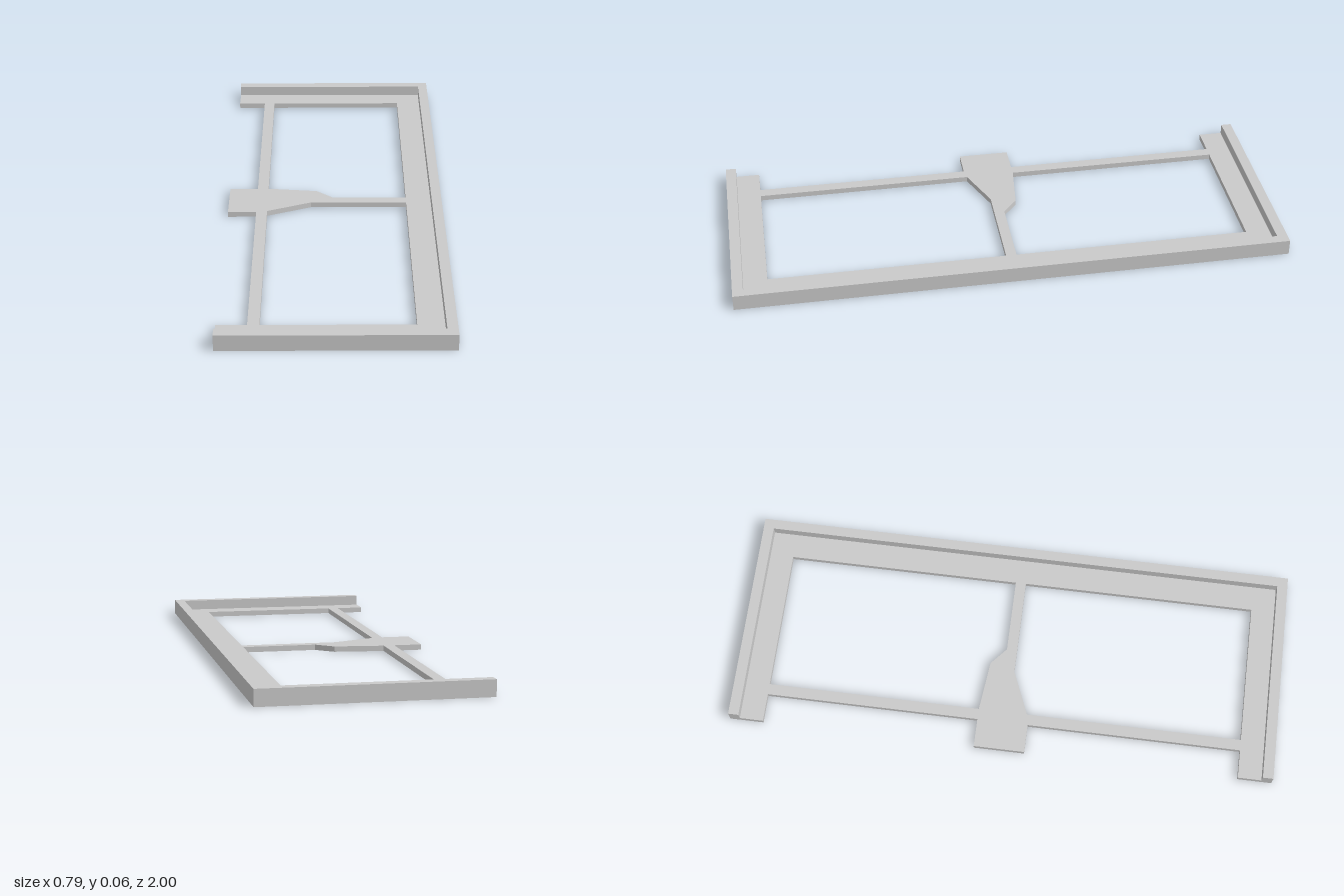
import * as THREE from 'three';

// Extrude a plan outline given as [x, z] points upward from y0
// (outlines run clockwise seen from above, holes anticlockwise)
function slab(name, points, holes, y0, height, material) {
  const toVectors = (list) => list.map(([x, z]) => new THREE.Vector2(x, -z));
  const shape = new THREE.Shape(toVectors(points));
  for (const hole of holes) shape.holes.push(new THREE.Path(toVectors(hole)));
  const geometry = new THREE.ExtrudeGeometry(shape, { depth: height, bevelEnabled: false });
  geometry.rotateX(-Math.PI / 2);
  const mesh = new THREE.Mesh(geometry, material);
  mesh.name = name;
  mesh.position.y = y0;
  return mesh;
}

export function createModel() {
  const group = new THREE.Group();
  group.name = 'openFrame';
  const grey = new THREE.MeshStandardMaterial({ color: 0xcacaca });
  grey.name = 'light grey';

  const X = 0.394, Z = 1, height = 0.058, floor = 0.02;
  const railOut = -0.29, railIn = -0.25, inner = 0.266, flange = 0.876, hub = 0.093;

  // Flat base: flanges on three sides, thin side rails, hub and its tapering arm
  const outline = [
    [-X, -Z], [X, -Z], [X, Z], [-X, Z],
    [-X, flange], [railOut, flange], [railOut, hub], [-X, hub],
    [-X, -hub], [railOut, -hub], [railOut, -flange], [-X, -flange],
  ];
  const backOpening = [
    [railIn, -hub], [-0.067, -0.073], [-0.005, -0.019],
    [inner, -0.019], [inner, -flange], [railIn, -flange],
  ];
  const frontOpening = [
    [railIn, flange], [inner, flange], [inner, 0.019], [-0.089, 0.019], [railIn, 0.086],
  ];
  group.add(slab('basePlate', outline, [backOpening, frontOpening], 0, floor, grey));

  // Raised rim around the three closed sides
  const rimX = 0.358, rimZ = 0.962;
  const rim = [
    [-X, -Z], [X, -Z], [X, Z], [-X, Z],
    [-X, rimZ], [rimX, rimZ], [rimX, -rimZ], [-X, -rimZ],
  ];
  group.add(slab('raisedRim', rim, [], floor, height - floor, grey));

  return group;
}
